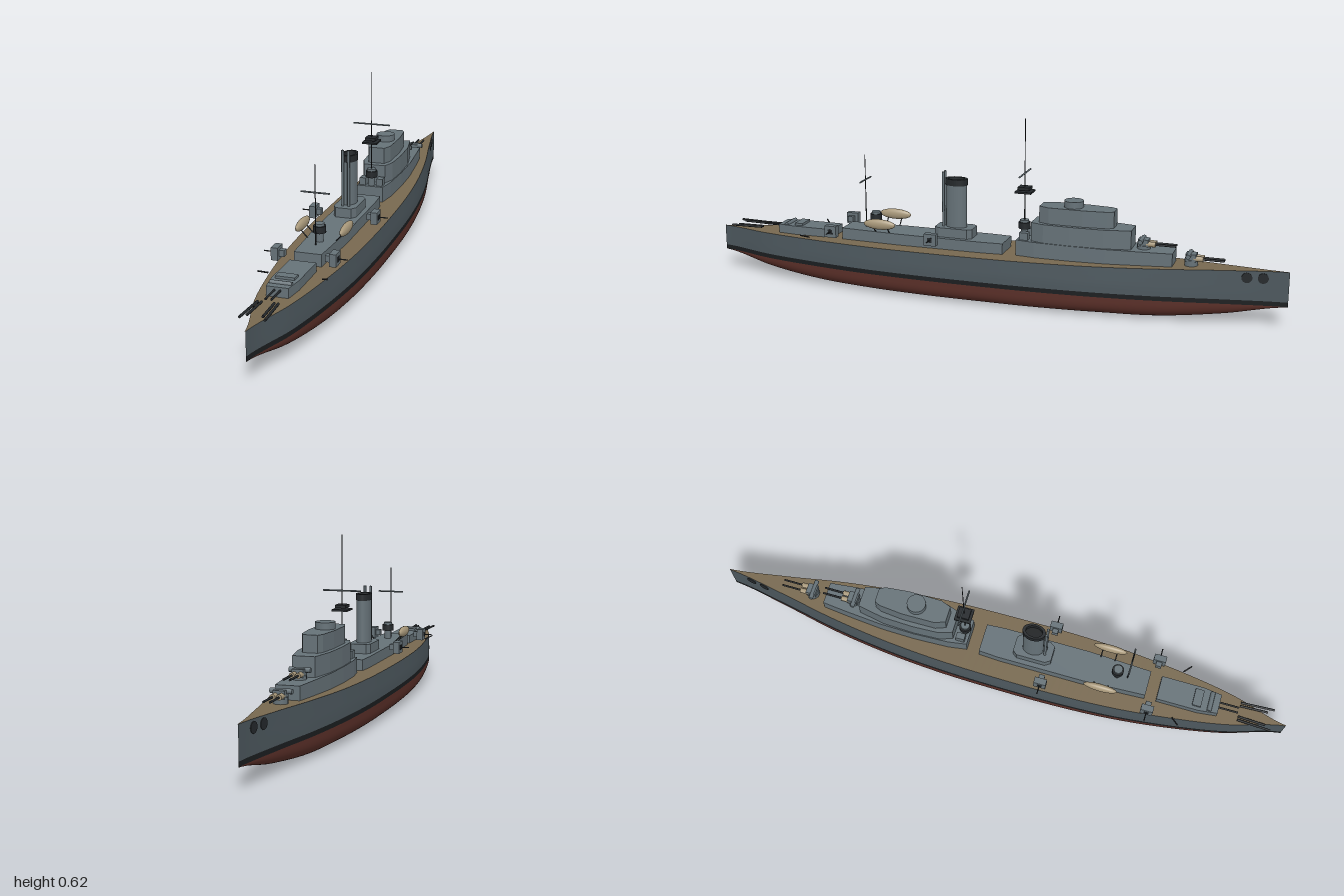
import * as THREE from 'three';

const mat = (color, extra = {}) => new THREE.MeshStandardMaterial({ color, ...extra });

export function createModel() {
  const ship = new THREE.Group();
  ship.name = 'warship';
  const grey = mat(0x667278), hullGrey = mat(0x4c575d), dark = mat(0x24282b);
  const red = mat(0x5a2f28), black = mat(0x1a1d1f), wood = mat(0x77684f), canvas = mat(0xa8987a);

  const add = (name, geo, material, x = 0, y = 0, z = 0) => {
    const m = new THREE.Mesh(geo, material);
    m.name = name;
    m.position.set(x, y, z);
    ship.add(m);
    return m;
  };
  const box = (name, w, h, d, material, x, y, z) => add(name, new THREE.BoxGeometry(w, h, d), material, x, y, z);
  const post = (name, r, y0, y1, material, x, z, sides = 16, rTop = r) =>
    add(name, new THREE.CylinderGeometry(rTop, r, y1 - y0, sides), material, x, (y0 + y1) / 2, z);
  // straight tube between two points
  const rod = (name, r, a, b, material) => {
    const p = new THREE.Vector3(...a), q = new THREE.Vector3(...b), d = q.clone().sub(p);
    const m = add(name, new THREE.CylinderGeometry(r, r, d.length(), 8), material);
    m.position.copy(p).add(q).multiplyScalar(0.5);
    m.quaternion.setFromUnitVectors(new THREE.Vector3(0, 1, 0), d.normalize());
    return m;
  };
  // deckhouse: half outline [x, z] mirrored and raised from y0 to y1
  const house = (name, y0, y1, half, material = grey) => {
    const all = [...half, ...half.slice().reverse().map(([x, z]) => [-x, z])];
    const shape = new THREE.Shape(all.map(([x, z]) => new THREE.Vector2(x, -z)));
    const geo = new THREE.ExtrudeGeometry(shape, { depth: y1 - y0, bevelEnabled: false });
    return add(name, geo.rotateX(-Math.PI / 2), material, 0, y0, 0);
  };

  // hull lines, sampled evenly from bow (-z) to stern (+z)
  const line = (vals) => {
    const c = new THREE.SplineCurve(vals.map((v, i) => new THREE.Vector2(i, v)));
    return (t) => c.getPoint(t).y;
  };
  const beam = line([0.001, 0.034, 0.073, 0.1, 0.115, 0.12, 0.12, 0.112, 0.091, 0.057, 0.001]);
  const keel = line([0.069, 0.03, 0.006, 0.002, 0, 0, 0, 0.002, 0.008, 0.03, 0.069]);
  const sheer = line([0.185, 0.181, 0.176, 0.171, 0.168, 0.166, 0.165, 0.164, 0.163, 0.161, 0.158]);
  const RED = 0.07, BOOT = 0.085;

  const grid = (nu, nv, f) => {
    const pos = [], idx = [];
    for (let i = 0; i <= nu; i++) for (let j = 0; j <= nv; j++) pos.push(...f(i / nu, j / nv));
    for (let i = 0; i < nu; i++) for (let j = 0; j < nv; j++) {
      const a = i * (nv + 1) + j, b = a + nv + 1;
      idx.push(a, b, b + 1, a, b + 1, a + 1);
    }
    const g = new THREE.BufferGeometry();
    g.setAttribute('position', new THREE.Float32BufferAttribute(pos, 3));
    g.setIndex(idx);
    g.computeVertexNormals();
    return g;
  };
  const zAt = (t) => -1 + 2 * t;
  const sideX = (t, y) => beam(t) * (1 - 0.035 * Math.max(0, (y - 0.11) / 0.055));

  // rounded underwater body
  add('underwaterHull', grid(80, 32, (t, v) => {
    const a = v * Math.PI, c = Math.cos(a), s = Math.max(0, Math.sin(a));
    const n = 2 + 1.6 * Math.sin(Math.PI * t);
    return [beam(t) * Math.sign(c) * Math.abs(c) ** (2 / n),
      RED - Math.max(0, RED - keel(t)) * s ** (2 / n), zAt(t)];
  }), red);
  // boot topping and topsides on both sides
  for (const s of [1, -1]) {
    const strip = (name, y0, y1, rows, material) => add(name, grid(80, rows, (t, v) => {
      const top = y1 ?? sheer(t);
      const y = THREE.MathUtils.lerp(y0, top, s > 0 ? 1 - v : v);
      return [s * sideX(t, y), y, zAt(t)];
    }), material);
    strip('bootTopping', RED, BOOT, 1, black);
    strip('topside', BOOT, null, 6, hullGrey);
  }
  add('deck', grid(80, 2, (t, v) => [(2 * v - 1) * sideX(t, sheer(t)), sheer(t), zAt(t)]), wood);

  // forward superstructure
  house('forwardDeckhouse', 0.16, 0.22, [[0.045, -0.115], [0.055, -0.18], [0.06, -0.3], [0.058, -0.42], [0.047, -0.55], [0.038, -0.635]]);
  house('bridgeLower', 0.22, 0.283, [[0.038, -0.165], [0.053, -0.21], [0.057, -0.3], [0.053, -0.41], [0.036, -0.5]]);
  house('bridgeUpper', 0.283, 0.338, [[0.028, -0.19], [0.041, -0.225], [0.042, -0.34], [0.034, -0.42], [0.024, -0.44]]);
  post('directorTower', 0.032, 0.338, 0.36, grey, 0, -0.3, 24);

  // midships and aft deckhouses
  house('midDeckhouse', 0.155, 0.203, [[0.05, -0.07], [0.054, 0.0], [0.054, 0.3], [0.044, 0.515]]);
  house('aftDeckhouse', 0.155, 0.192, [[0.042, 0.555], [0.042, 0.7], [0.034, 0.765]]);
  box('aftHouseCoaming', 0.06, 0.008, 0.03, grey, 0, 0.196, 0.69);
  rod('aftHouseHood', 0.008, [-0.034, 0.192, 0.735], [0.034, 0.192, 0.735], grey);

  // funnel with dark cap, base and steam pipes
  house('funnelBase', 0.203, 0.235, [[0.026, 0.045], [0.038, 0.06], [0.038, 0.16], [0.026, 0.178]]);
  const oval = (name, r0, r1, y0, y1, material) => {
    const pts = [[r0, y0], [r0, y1], [r1, y1], [r1, y0]].map((p) => new THREE.Vector2(...p));
    const flat = new THREE.LatheGeometry(pts, 32).toNonIndexed();
    flat.computeVertexNormals();
    add(name, flat, material, 0, 0, 0.108).scale.z = 1.5;
  };
  oval('funnel', 0.024, 0.019, 0.235, 0.385, mat(0x667278, { side: THREE.DoubleSide }));
  oval('funnelCap', 0.026, 0.019, 0.38, 0.402, mat(0x24282b, { side: THREE.DoubleSide }));
  post('funnelUptake', 0.0195, 0.36, 0.385, black, 0, 0.108, 24).scale.z = 1.5;
  for (const s of [1, -1]) post('steamPipe', 0.0045, 0.235, 0.423, grey, s * 0.01, 0.152, 10);

  // masts, yards and lookout top
  post('foremast', 0.0022, 0.16, 0.62, dark, 0, -0.132, 8, 0.0012);
  rod('foreYard', 0.0028, [-0.064, 0.438, -0.132], [0.064, 0.438, -0.132], grey);
  box('lookoutFloor', 0.052, 0.006, 0.056, dark, 0, 0.376, -0.132);
  box('lookoutRoof', 0.036, 0.01, 0.04, dark, 0, 0.388, -0.132);
  post('mainmast', 0.0022, 0.2, 0.46, dark, 0, 0.442, 8, 0.0012);
  rod('mainYard', 0.0028, [-0.046, 0.371, 0.442], [0.046, 0.371, 0.442], grey);

  // searchlights on pedestals
  for (const [z, y0, y1] of [[-0.132, 0.22, 0.28], [0.405, 0.2, 0.262]]) {
    post('searchlightPedestal', 0.012, y0, y1 - 0.02, grey, 0, z);
    post('searchlightDrum', 0.02, y1 - 0.03, y1 - 0.008, dark, 0, z, 20);
    post('searchlightLid', 0.015, y1 - 0.008, y1, grey, 0, z, 20);
  }
  for (const s of [1, -1]) box('signalLocker', 0.022, 0.03, 0.03, grey, s * 0.03, 0.23, -0.14);

  // forward twin guns with canvas blast bags
  for (const [z, y] of [[-0.535, 0.237], [-0.69, 0.203]]) {
    post('gunBase', 0.022, y - 0.03, y - 0.005, grey, 0, z);
    box('gunHouse', 0.036, 0.024, 0.034, grey, 0, y + 0.003, z);
    rod('rangefinder', 0.008, [-0.034, y + 0.01, z + 0.006], [0.034, y + 0.01, z + 0.006], grey);
    for (const s of [1, -1]) {
      rod('blastBag', 0.009, [s * 0.01, y, z - 0.01], [s * 0.01, y, z - 0.04], canvas);
      rod('gunBarrel', 0.0034, [s * 0.01, y, z - 0.03], [s * 0.01, y, z - 0.107], dark);
    }
  }

  for (const s of [1, -1]) {
    // stern guns and quarterdeck tubes
    rod('sternGunBarrel', 0.0034, [s * 0.009, 0.182, 0.75], [s * 0.009, 0.182, 0.832], dark);
    rod('quarterdeckTube', 0.004, [s * 0.031, 0.174, 0.835], [s * 0.037, 0.174, 0.95], dark);
    rod('quarterdeckTubeInner', 0.004, [s * 0.019, 0.174, 0.835], [s * 0.023, 0.174, 0.93], dark);
    rod('sternDavit', 0.0025, [s * 0.085, 0.171, 0.622], [s * 0.108, 0.182, 0.645], dark);

    // side guns behind box shields
    for (const [x, y, z, tip] of [[0.105, 0.212, 0.163, 0.146], [0.092, 0.203, 0.533, 0.133]]) {
      box('sideGunShield', 0.022, 0.04, 0.042, grey, s * x, y, z);
      box('sideGunBreech', 0.018, 0.02, 0.02, grey, s * (x - 0.018), y, z);
      box('sideGunPort', 0.003, 0.016, 0.016, dark, s * (x + 0.011), y, z);
      rod('sideGunBarrel', 0.002, [s * x, y, z], [s * tip, y, z], dark);
    }

    // canvas-covered boats
    add('boat', new THREE.SphereGeometry(1, 24, 16), canvas, s * 0.072, 0.237, 0.362).scale.set(0.012, 0.018, 0.058);
    for (const dz of [-0.025, 0.025])
      rod('boatCradle', 0.002, [s * 0.045, 0.2, 0.362 + dz], [s * 0.07, 0.228, 0.362 + dz], dark);

    // round anchor recesses near the bow
    for (const z of [-0.87, -0.92]) {
      const t = (z + 1) / 2, slope = (sideX(t + 0.01, 0.145) - sideX(t - 0.01, 0.145)) / 0.04;
      const disc = add('anchorRecess', new THREE.CylinderGeometry(0.017, 0.017, 0.004, 20), dark, s * sideX(t, 0.16), 0.16, z);
      disc.quaternion.setFromUnitVectors(new THREE.Vector3(0, 1, 0), new THREE.Vector3(s, 0, -slope).normalize());
    }
  }
  return ship;
}
